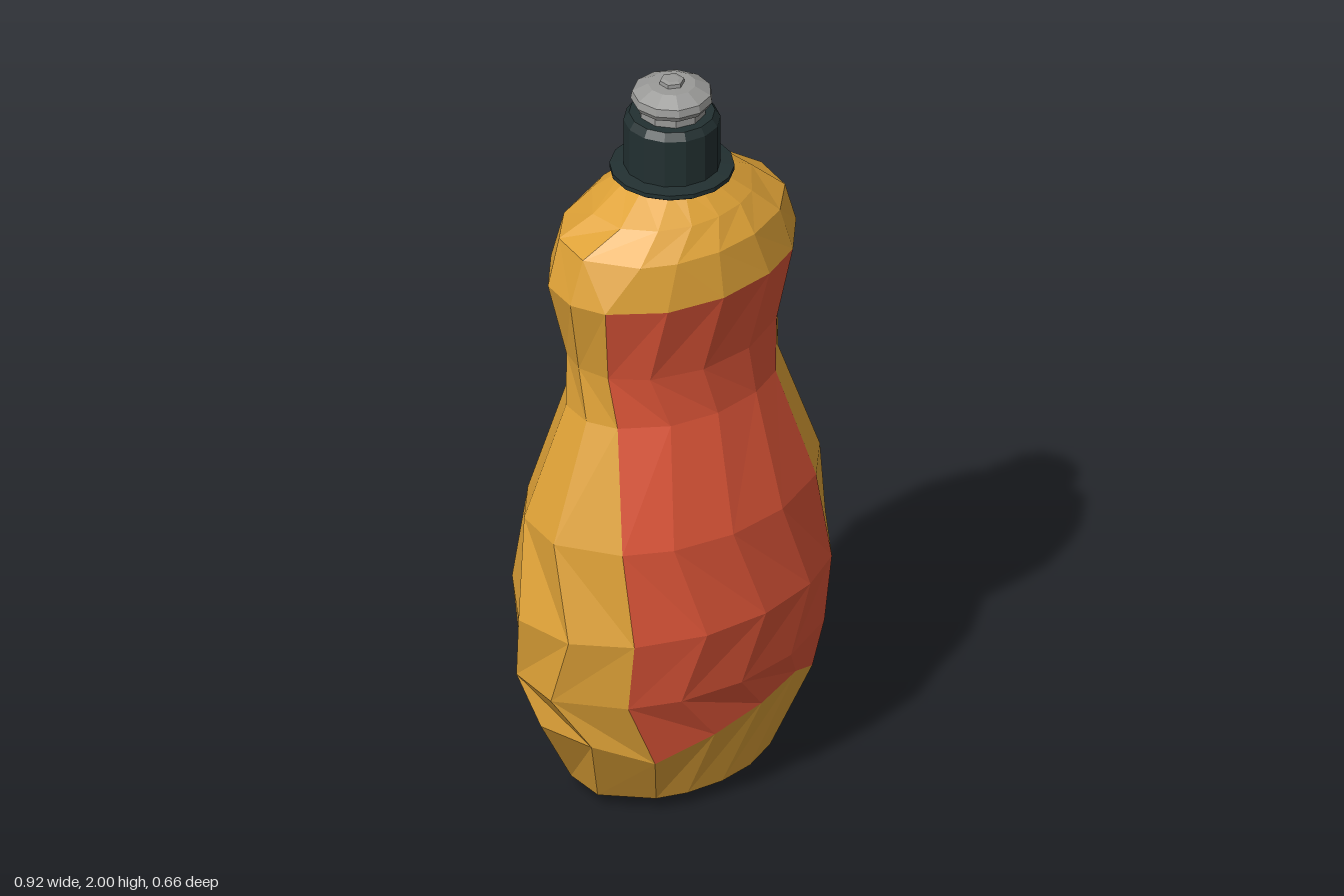
import * as THREE from 'three';

const mat = (name, color) => Object.assign(new THREE.MeshStandardMaterial({ color }), { name, flatShading: true });

// Body rows: y, half width, half depth, label edge at -x and +x
const ROWS = [
  [0.005, 0.22, 0.14, -0.14, 0.14],
  [0.035, 0.29, 0.20, -0.19, 0.19],
  [0.235, 0.41, 0.27, -0.25, 0.30],
  [0.38, 0.45, 0.30, -0.33, 0.31],
  [0.57, 0.46, 0.325, -0.33, 0.32],
  [0.82, 0.42, 0.295, -0.33, 0.28],
  [1.13, 0.305, 0.212, -0.27, 0.20],
  [1.27, 0.30, 0.208, -0.28, 0.22],
  [1.49, 0.355, 0.25, -0.32, 0.23],
  [1.61, 0.32, 0.225, -0.24, 0.20],
  [1.675, 0.23, 0.175, -0.16, 0.14],
  [1.735, 0.12, 0.11, -0.08, 0.08],
];
const LABEL_FROM = 2, LABEL_TO = 8;
const LABEL_COLS = 4, SIDE_COLS = 3, HALF = LABEL_COLS + SIDE_COLS;
const BOTTOM_EDGE = [0, 0.05, 0.03, 0, -0.045, 0.01, 0.02]; // wavy lower label edge

// One ring; the back half is the front half turned by 180 degrees
function ring([y, w, d, left, right], r) {
  const a0 = Math.acos(right / w), a1 = Math.acos(left / w);
  const pts = [];
  for (let c = 0; c < 2 * HALF; c++) {
    const k = c % HALF;
    const shift = (r % 2 ? 0.14 : -0.14);
    let t;
    if (k <= LABEL_COLS) {
      const u = k % LABEL_COLS ? k + shift : k;
      t = a0 + (a1 - a0) * u / LABEL_COLS;
    } else {
      t = a1 + (a0 + Math.PI - a1) * (k - LABEL_COLS + shift) / SIDE_COLS;
    }
    if (c >= HALF) t += Math.PI;
    const dy = r === LABEL_FROM ? BOTTOM_EDGE[k] : 0;
    pts.push(new THREE.Vector3(w * 1.02 * Math.cos(t), y + dy, d * 1.01 * Math.sin(t)));
  }
  return pts;
}

function facets(tris) {
  const g = new THREE.BufferGeometry().setFromPoints(tris);
  g.computeVertexNormals();
  return g;
}

// Faceted turned part from [radius, y] pairs
function turned(name, profile, sides, material) {
  const g = new THREE.LatheGeometry(profile.map(([r, y]) => new THREE.Vector2(r, y)), sides).toNonIndexed();
  g.computeVertexNormals();
  const m = new THREE.Mesh(g, material);
  m.name = name;
  return m;
}

export function createModel() {
  const model = new THREE.Group();
  model.name = 'squeezeBottle';
  const amber = mat('amberPlastic', 0xdfa237);
  const red = mat('redLabel', 0xdd5538);
  const dark = mat('darkCap', 0x223031);
  const grey = mat('greyNozzle', 0x9a9a98);

  // Body skin, sorted into bottle, front label and back label
  const rings = ROWS.map(ring);
  const body = [], front = [], back = [];
  const n = 2 * HALF;
  for (let r = 0; r < rings.length - 1; r++) {
    for (let c = 0; c < n; c++) {
      const e = (c + 1) % n;
      const a = rings[r][c], b = rings[r][e], A = rings[r + 1][c], B = rings[r + 1][e];
      const onLabel = r >= LABEL_FROM && r < LABEL_TO && c % HALF < LABEL_COLS;
      const list = !onLabel ? body : c < HALF ? front : back;
      if (r % 2) list.push(a, A, b, b, A, B);
      else list.push(a, A, B, a, B, b);
    }
  }
  // Base and top closures
  const base = new THREE.Vector3(0, 0, 0), top = new THREE.Vector3(0, 1.74, 0);
  const last = rings[rings.length - 1];
  for (let c = 0; c < n; c++) {
    const e = (c + 1) % n;
    body.push(base, rings[0][c], rings[0][e], top, last[e], last[c]);
  }
  for (const [name, tris, m] of [['bottleBody', body, amber], ['frontLabel', front, red], ['backLabel', back, red]]) {
    const mesh = new THREE.Mesh(facets(tris), m);
    mesh.name = name;
    model.add(mesh);
  }

  // Cap with collar
  model.add(turned('collar', [[0, 1.73], [0.145, 1.73], [0.157, 1.738], [0.157, 1.75], [0.115, 1.756]], 16, dark));
  model.add(turned('cap', [[0.122, 1.745], [0.122, 1.885], [0.108, 1.905], [0, 1.905]], 14, dark));

  // Nozzle
  model.add(turned('nozzleNeck', [[0.085, 1.9], [0.085, 1.935]], 10, grey));
  model.add(turned('nozzleHead', [[0.07, 1.925], [0.095, 1.93], [0.104, 1.945], [0.1, 1.965], [0.06, 1.986], [0, 1.988]], 11, grey));
  model.add(turned('nozzleTip', [[0.033, 1.98], [0.031, 1.997], [0.02, 2.0], [0, 2.0]], 6, grey));
  return model;
}
